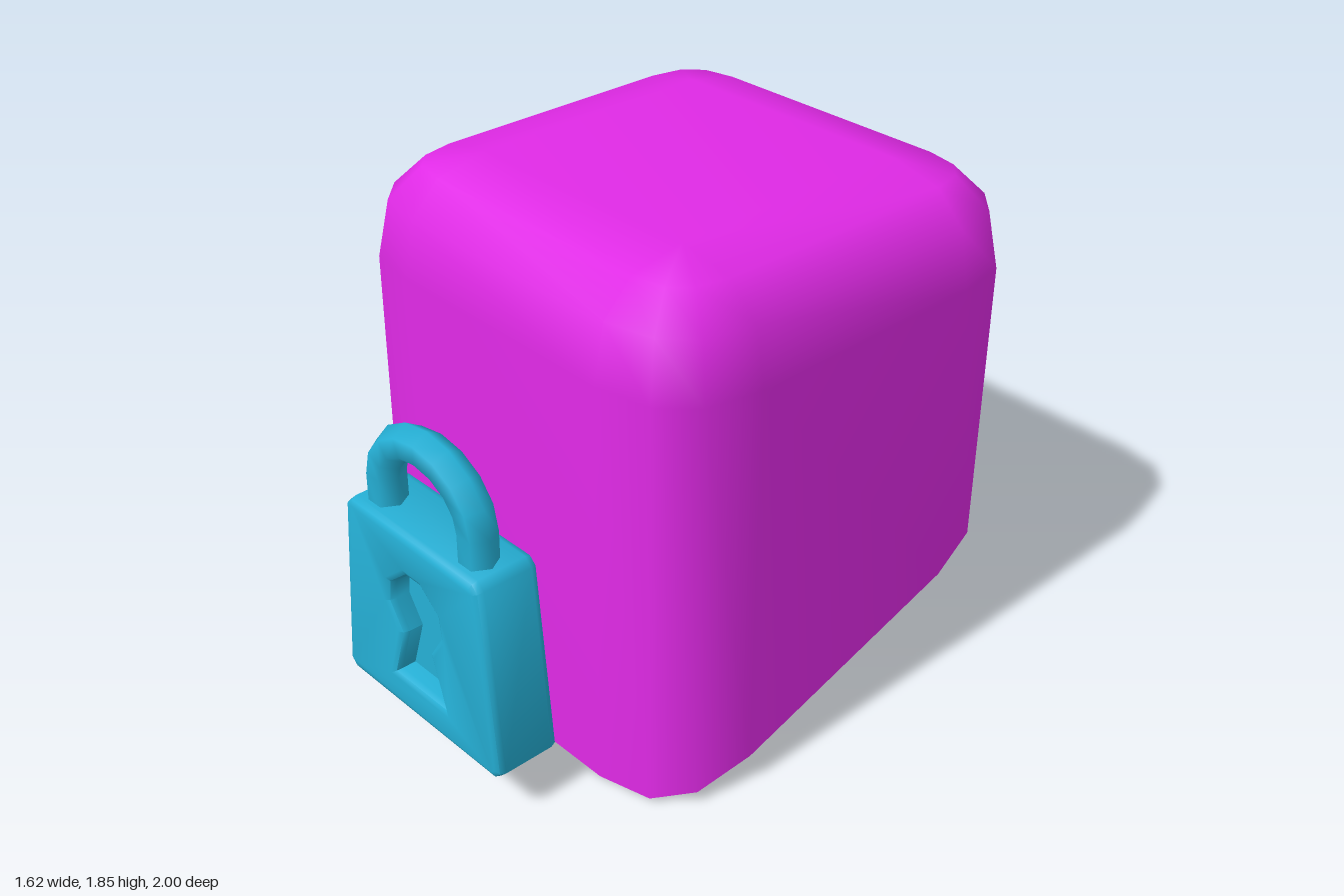
import * as THREE from 'three';
import { mergeVertices, toCreasedNormals } from 'three/addons/utils/BufferGeometryUtils.js';

const V = (x, y, z) => new THREE.Vector3(x, y, z);

// Skin a list of closed rings; optional triangles (ring-vertex indices) close the last ring
function loft(rings, cap = []) {
  const n = rings[0].length, index = [];
  for (let i = 0; i < rings.length - 1; i++) {
    for (let j = 0; j < n; j++) {
      const k = (j + 1) % n;
      const a = i * n + j, b = i * n + k, c = b + n, d = a + n;
      index.push(a, d, c, a, c, b);
    }
  }
  const last = (rings.length - 1) * n;
  index.push(...cap.map((j) => last + j));
  const geo = new THREE.BufferGeometry().setFromPoints(rings.flat());
  geo.setIndex(index);
  const welded = mergeVertices(geo, 1e-4);
  welded.computeVertexNormals();
  return welded;
}

function polygon(points, Type = THREE.Shape) {
  return new Type(points.map(([x, y]) => new THREE.Vector2(x, y)));
}

// Rounded hood, open below along a slanted cut
function hoodGeometry() {
  const core = 0.46, zMid = -0.19, top = 1.85;
  const arc = [[0.35, 0], [0.31, 0.2], [0.2, 0.31], [0, 0.35]];
  const corners = [0, 1, 2, 3].map((q) => q * Math.PI / 2);
  const ring = (r, height) => corners.flatMap((q) => arc.map(([a, b]) => {
    const u = core + a * r / 0.35, w = core + b * r / 0.35;
    const x = u * Math.cos(q) - w * Math.sin(q);
    const z = u * Math.sin(q) + w * Math.cos(q) + zMid;
    return V(x, height(z), z);
  }));
  const rings = [ring(0.35, (z) => (0.62 - z) * 0.5 / 1.62)];
  for (const [r, rise] of arc) rings.push(ring(r, () => top - 0.35 + rise));
  return loft(rings, [0, 8, 4, 0, 12, 8]);
}

// Hexagonal bar bent into an arch with two straight legs
function shackleGeometry() {
  const path = [[V(0.235, 0.85, 0.9), V(1, 0, 0)]];
  for (let i = 0; i <= 8; i++) {
    const t = i * Math.PI / 8, c = Math.cos(t), s = Math.sin(t);
    path.push([V(0.235 * c, 1 + 0.19 * s, 0.9), V(c / 0.235, s / 0.19, 0).normalize()]);
  }
  path.push([V(-0.235, 0.85, 0.9), V(-1, 0, 0)]);
  return loft(path.map(([p, n]) => Array.from({ length: 6 }, (_, j) => {
    const t = j * Math.PI / 3;
    return p.clone().addScaledVector(n, 0.065 * Math.cos(t)).add(V(0, 0, 0.065 * Math.sin(t)));
  })));
}

export function createModel() {
  const group = new THREE.Group();
  const magenta = new THREE.MeshStandardMaterial({ color: 0xe02ae6, side: THREE.DoubleSide });
  const blue = new THREE.MeshStandardMaterial({ color: 0x25b0d6 });
  const add = (name, geo, mat, parent) => {
    const mesh = new THREE.Mesh(geo, mat);
    mesh.name = name;
    parent.add(mesh);
    return mesh;
  };

  add('hood', hoodGeometry(), magenta, group);

  const padlock = new THREE.Group();
  padlock.name = 'padlock';
  group.add(padlock);

  // Keyhole outline, slightly flared at the face
  const half = [[0.14, 0.305], [0.085, 0.49], [0.14, 0.575], [0.13, 0.66], [0.04, 0.735]];
  const keyhole = [...half, ...half.map(([x, y]) => [-x, y]).reverse()]
    .map(([x, y]) => [x * 1.12, 0.52 + (y - 0.52) * 1.12]);

  // Tapered lock case with softened edges
  const side = [[0.372, 0.19], [0.387, 0.205], [0.322, 0.86], [0.306, 0.875]];
  const outline = polygon([...side, ...side.map(([x, y]) => [-x, y]).reverse()]);
  outline.holes.push(polygon(keyhole, THREE.Path));
  const caseGeo = new THREE.ExtrudeGeometry(outline, {
    depth: 0.185, bevelThickness: 0.03, bevelSize: 0.025, bevelSegments: 2,
  });
  add('lockCase', toCreasedNormals(caseGeo, 0.9), blue, padlock).position.z = 0.785;

  // Plug that forms the floor of the keyhole recess and the plain back
  const plug = new THREE.ExtrudeGeometry(polygon(keyhole), { depth: 0.165, bevelEnabled: false });
  add('keyholeFloor', plug, blue, padlock).position.z = 0.755;

  add('shackle', shackleGeometry(), blue, padlock);
  return group;
}
